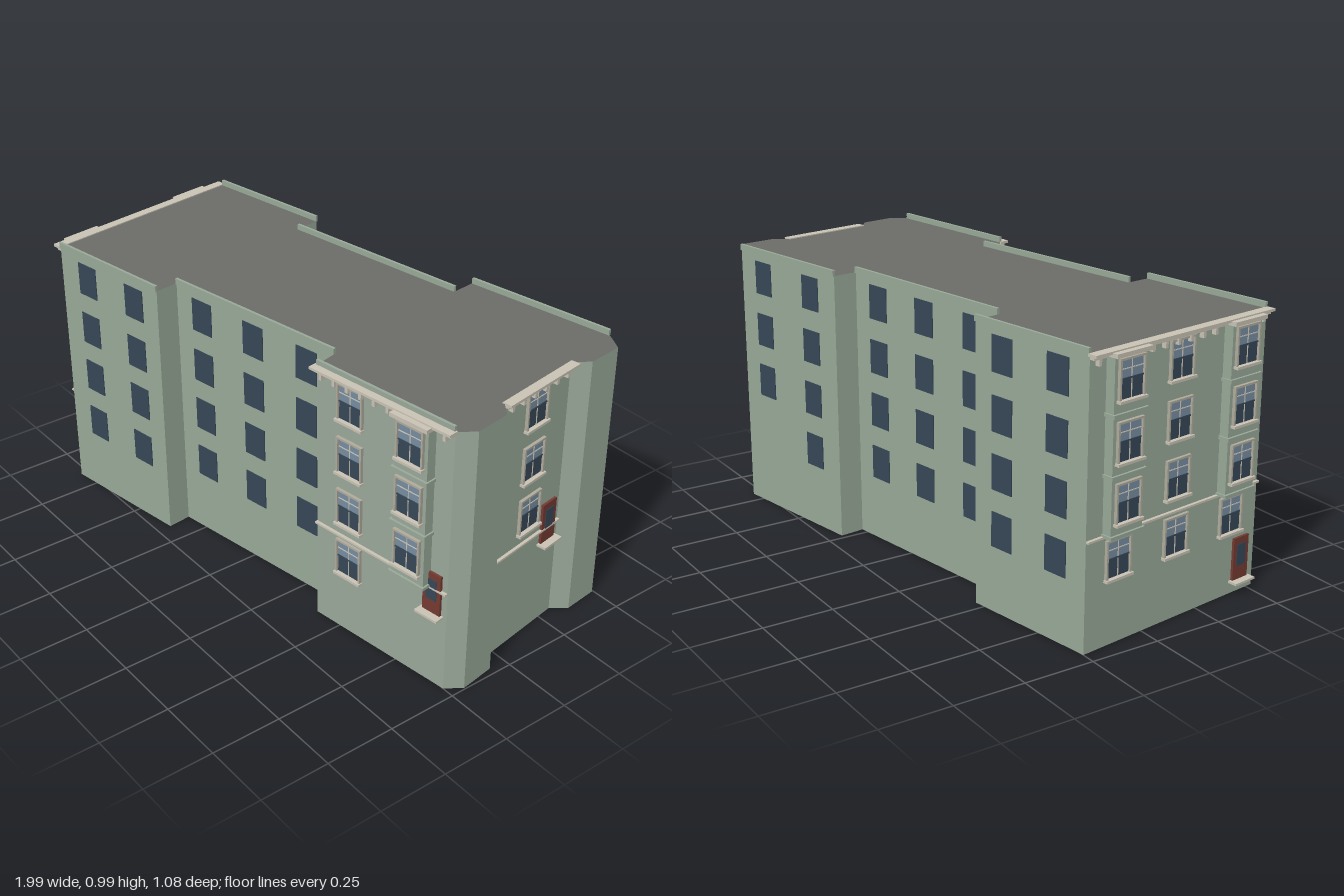
import * as THREE from 'three';

const mat = (color) => new THREE.MeshStandardMaterial({ color, roughness: 0.9 });
const GREEN = mat(0x98a898), ROOF = mat(0x6b6c67), TRIM = mat(0xc8c2b4), FRAME = mat(0xaeab9c);
const GLASS = mat(0x364655), SKY = mat(0x768ca0), RED = mat(0x743a32);

// Footprint corners as [x, z], counted round the building
const P = {
  A: [-0.95, -0.25], B: [-0.46, -0.33], C: [-0.445, -0.235], D: [0.28, -0.35], E: [0.27, -0.44],
  F: [0.815, -0.535], G: [0.89, -0.495], H: [0.905, -0.365], I: [0.865, -0.31], J: [0.92, 0.025],
  K: [0.975, 0.065], L: [0.995, 0.195], M: [0.955, 0.25], N: [0.395, 0.325], O: [0.375, 0.24],
  Q: [-0.345, 0.36], R: [-0.335, 0.447], S: [-0.84, 0.527],
};
const EAVES = 0.965;
const ROWS = [0.877, 0.681, 0.486, 0.29]; // window centre heights, top floor first

function box(parent, name, m, w, h, d, x, y, z) {
  const mesh = new THREE.Mesh(new THREE.BoxGeometry(w, h, d), m);
  mesh.name = name;
  mesh.position.set(x, y, z);
  parent.add(mesh);
  return mesh;
}

// Wall frame: x runs along the wall, z points outward
function wall(root, name, from, to) {
  const g = new THREE.Group(), dx = to[0] - from[0], dz = to[1] - from[1];
  g.name = name;
  g.position.set(from[0], 0, from[1]);
  g.rotation.y = Math.atan2(-dz, dx);
  g.userData.length = Math.hypot(dx, dz);
  root.add(g);
  return g;
}

function parapet(g) {
  const len = g.userData.length;
  box(g, 'parapet', GREEN, len, 0.022, 0.01, len / 2, 0.974, 0);
}

function plainWindow(g, x, y) {
  box(g, 'plainWindow', GLASS, 0.092, 0.121, 0.004, x, y, 0.001);
}

// Sash window with frame, sill, glazing bars and a paler upper sash
function sashWindow(g, x, y, z) {
  const w = new THREE.Group();
  w.name = 'sashWindow';
  w.position.set(x, y, z);
  g.add(w);
  box(w, 'upperGlass', SKY, 0.095, 0.062, 0.004, 0, 0.031, 0.001);
  box(w, 'lowerGlass', GLASS, 0.095, 0.062, 0.004, 0, -0.031, 0.001);
  for (const s of [-1, 1]) box(w, 'frameSide', FRAME, 0.007, 0.13, 0.012, s * 0.051, 0, 0.005);
  box(w, 'frameTop', FRAME, 0.109, 0.007, 0.012, 0, 0.064, 0.005);
  box(w, 'sill', TRIM, 0.116, 0.009, 0.02, 0, -0.066, 0.008);
  box(w, 'meetingRail', GLASS, 0.095, 0.005, 0.008, 0, 0.002, 0.002);
  box(w, 'glazingBar', TRIM, 0.003, 0.122, 0.006, 0, 0, 0.002);
  box(w, 'glazingBar', TRIM, 0.095, 0.003, 0.006, 0, 0.032, 0.002);
}

// Box bay over the upper three floors with a ledge at each floor
function bay(g, x) {
  const b = new THREE.Group();
  b.name = 'bay';
  b.position.x = x;
  g.add(b);
  box(b, 'bayBody', GREEN, 0.135, 0.58, 0.035, 0, 0.667, 0.0175);
  for (const y of [0.38, 0.574, 0.768]) box(b, 'bayLedge', GREEN, 0.147, 0.011, 0.043, 0, y, 0.0215);
  box(b, 'bayCornice', TRIM, 0.15, 0.014, 0.052, 0, 0.957, 0.026);
  for (const y of ROWS.slice(0, 3)) sashWindow(b, 0, y, 0.035);
}

function door(g, x, bottom) {
  const d = new THREE.Group();
  d.name = 'door';
  d.position.set(x, bottom, 0);
  g.add(d);
  box(d, 'doorPanel', RED, 0.072, 0.152, 0.012, 0, 0.076, 0.003);
  box(d, 'doorGlass', GLASS, 0.042, 0.076, 0.004, 0, 0.09, 0.009);
  box(d, 'doorStep', TRIM, 0.092, 0.008, 0.035, 0, -0.002, 0.0175);
}

// Two-step cornice with brackets below, leaving gaps at the bays
function cornice(g, bays = []) {
  const len = g.userData.length;
  box(g, 'corniceTop', TRIM, len + 0.012, 0.009, 0.034, len / 2, 0.964, 0.015);
  box(g, 'corniceBand', TRIM, len, 0.01, 0.02, len / 2, 0.954, 0.009);
  const n = Math.round(len / 0.056);
  for (let i = 0; i < n; i++) {
    const x = ((i + 0.5) / n) * len;
    if (bays.some((b) => Math.abs(b - x) < 0.085)) continue;
    box(g, 'bracket', TRIM, 0.011, 0.022, 0.018, x, 0.938, 0.008);
  }
}

function stringCourse(g) {
  const len = g.userData.length;
  box(g, 'stringCourse', TRIM, len, 0.007, 0.012, len / 2, 0.375, 0.005);
}

export function createModel() {
  const root = new THREE.Group();
  root.name = 'apartmentBlock';

  // Main body with a flat roof
  const shape = new THREE.Shape(Object.values(P).map(([x, z]) => new THREE.Vector2(x, -z)));
  const geo = new THREE.ExtrudeGeometry(shape, { depth: EAVES, bevelEnabled: false });
  geo.rotateX(-Math.PI / 2);
  const body = new THREE.Mesh(geo, [ROOF, GREEN]);
  body.name = 'body';
  root.add(body);

  // Plain walls: name, start, end, window positions as fractions
  const plain = [
    ['frontLeftWall', P.S, P.R, [0.277, 0.76]],
    ['frontMiddleWall', P.Q, P.O, [0.167, 0.5, 0.833]],
    ['backWingWall', P.F, P.E, [0.24, 0.745]],
    ['backMiddleWall', P.D, P.C, [0.167, 0.5, 0.833]],
    ['backEndWall', P.B, P.A, [0.25, 0.74]],
  ];
  for (const [name, from, to, columns] of plain) {
    const g = wall(root, name, from, to);
    parapet(g);
    columns.forEach((f, c) => ROWS.forEach((y, r) => {
      if (name === 'backWingWall' && c === 0 && r === 3) return; // blank ground-floor spot
      plainWindow(g, f * g.userData.length, y);
    }));
  }

  // Decorated front wing
  const front = wall(root, 'frontWingWall', P.N, P.M);
  parapet(front);
  cornice(front, [0.426]);
  stringCourse(front);
  for (const y of ROWS) sashWindow(front, 0.147, y, 0);
  bay(front, 0.426);
  door(front, 0.507, 0.28);

  // Recessed entrance wall between the chamfered corners
  const recess = wall(root, 'recessWall', P.J, P.I);
  cornice(recess);
  stringCourse(recess);
  for (const y of ROWS.slice(0, 3)) sashWindow(recess, 0.17, y, 0);
  door(recess, 0.28, 0.322);

  // Decorated end wall with two bays
  const end = wall(root, 'endWall', P.A, P.S);
  const len = end.userData.length, bays = [0.174 * len, 0.835 * len];
  cornice(end, bays);
  stringCourse(end);
  for (const x of bays) {
    bay(end, x);
    sashWindow(end, x, ROWS[3], 0);
  }
  for (const y of ROWS) sashWindow(end, 0.5 * len, y, 0);
  door(end, 0.91 * len, 0.045);

  return root;
}
